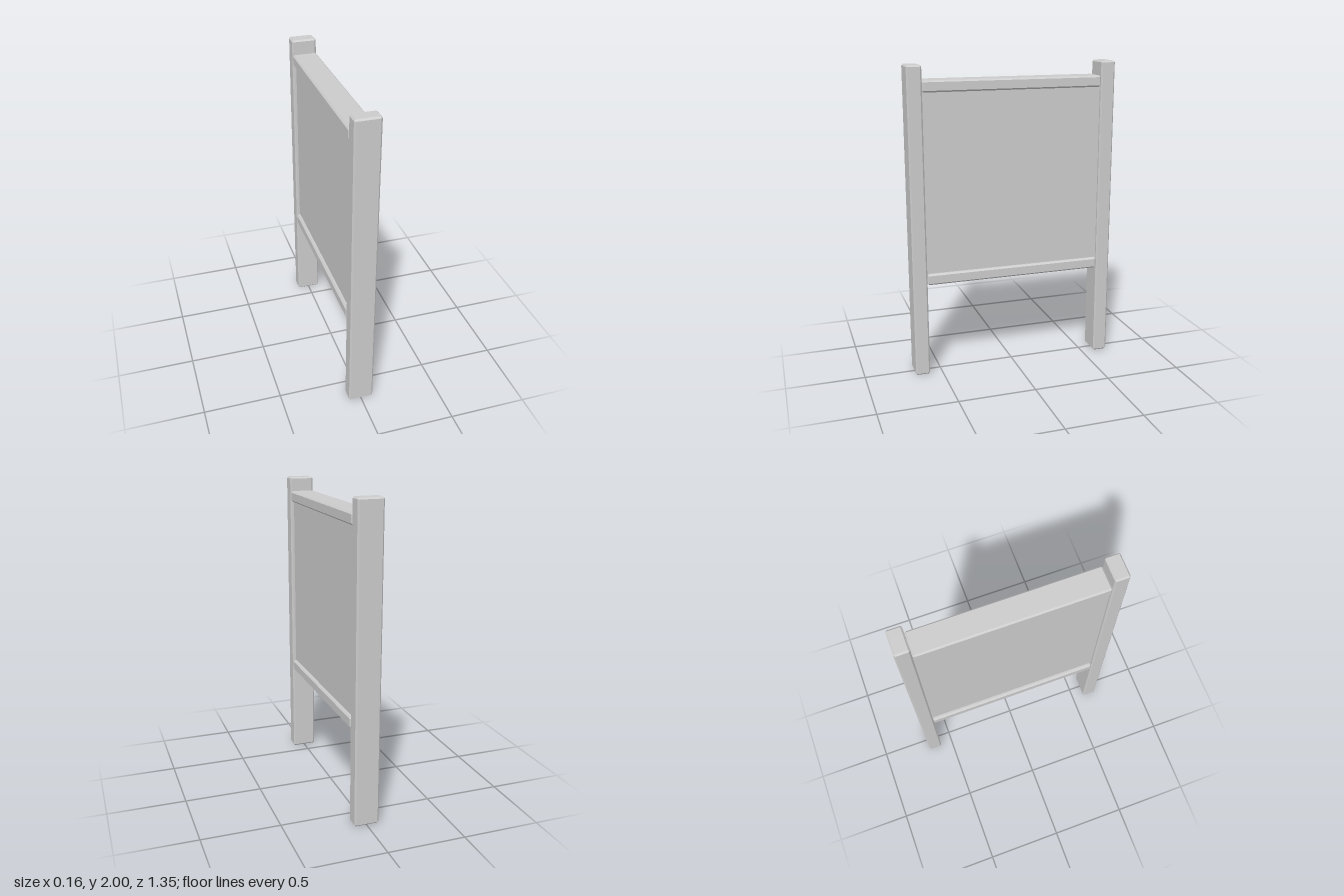
import * as THREE from 'three';
import { ConvexGeometry } from 'three/addons/geometries/ConvexGeometry.js';

const BEVEL = 0.01;

// Box with every edge chamfered: hull of the six inset faces
function chamferedBox(w, h, d, b = BEVEL) {
  const half = [w / 2, h / 2, d / 2];
  const points = [];
  for (const sx of [-1, 1]) for (const sy of [-1, 1]) for (const sz of [-1, 1]) {
    for (let face = 0; face < 3; face++) {
      const p = half.map((v, axis) => (axis === face ? v : v - b));
      points.push(new THREE.Vector3(sx * p[0], sy * p[1], sz * p[2]));
    }
  }
  return new ConvexGeometry(points);
}

export function createModel() {
  const group = new THREE.Group();
  const material = new THREE.MeshStandardMaterial({ color: 0xcccccc, flatShading: true });

  function add(name, geometry, y, z) {
    const mesh = new THREE.Mesh(geometry, material);
    mesh.name = name;
    mesh.position.set(0, y, z);
    group.add(mesh);
  }

  // Upright posts at both ends
  const post = chamferedBox(0.16, 2, 0.094);
  add('frontPost', post, 1, 0.63);
  add('backPost', post, 1, -0.63);

  // Horizontal rails between the posts
  const rail = chamferedBox(0.16, 0.072, 1.164);
  add('topRail', rail, 1.872, 0);
  add('bottomRail', rail, 0.65, 0);

  // Recessed board held by posts and rails
  add('panel', new THREE.BoxGeometry(0.115, 1.18, 1.17), 1.261, 0);

  return group;
}
